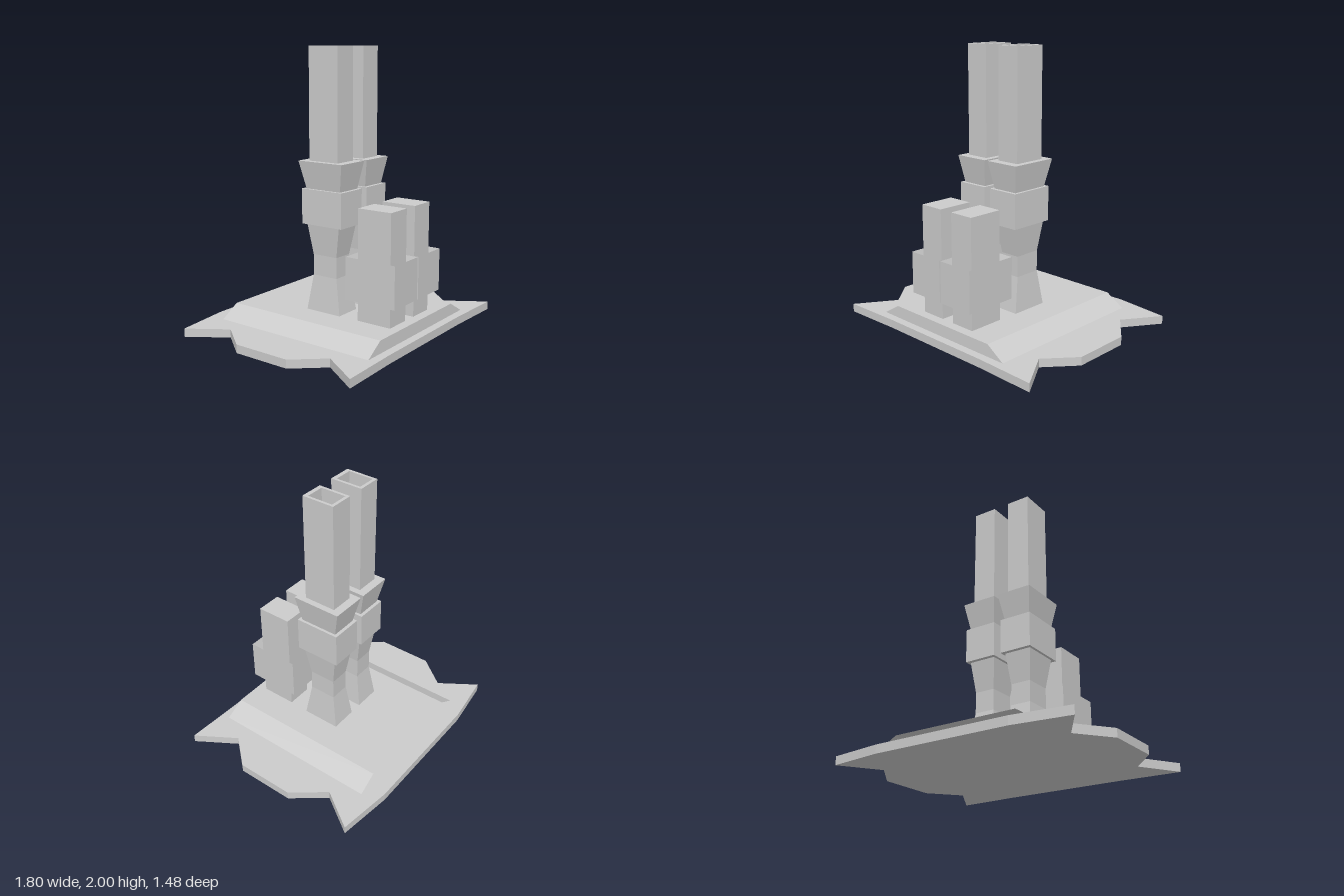
import * as THREE from 'three';

const material = new THREE.MeshStandardMaterial({ color: 0xcccccc, flatShading: true });
const openMaterial = new THREE.MeshStandardMaterial({ color: 0xcccccc, flatShading: true, side: THREE.DoubleSide });

function facesGeometry(quads) {
  const pos = [];
  for (const [a, b, c, d] of quads) pos.push(...a, ...b, ...c, ...a, ...c, ...d);
  const geo = new THREE.BufferGeometry();
  geo.setAttribute('position', new THREE.Float32BufferAttribute(pos, 3));
  geo.computeVertexNormals();
  return geo;
}

// Joins rectangular sections [y, halfWidth, zBack, zFront] in order and closes both ends
function rectLoft(sections) {
  const rings = sections.map(([y, w, z0, z1]) => [[-w, y, z1], [w, y, z1], [w, y, z0], [-w, y, z0]]);
  const quads = [[...rings[0]].reverse(), rings[rings.length - 1]];
  for (let i = 0; i + 1 < rings.length; i++) {
    for (let k = 0; k < 4; k++) {
      const n = (k + 1) % 4;
      quads.push([rings[i][k], rings[i][n], rings[i + 1][n], rings[i + 1][k]]);
    }
  }
  return facesGeometry(quads);
}

function part(parent, name, geometry, mat = material) {
  const mesh = new THREE.Mesh(geometry, mat);
  mesh.name = name;
  parent.add(mesh);
  return mesh;
}

export function createModel() {
  const model = new THREE.Group();
  model.name = 'twinTowers';

  // Notched base plate, mirrored left to right
  const half = [[0.5, -0.74], [0.9, -0.69], [0.72, -0.42], [0.9, -0.19], [0.9, 0.24], [0.72, 0.45], [0.9, 0.735], [0.45, 0.72]];
  const outline = [...half, ...half.map(([x, z]) => [-x, z]).reverse()];
  const base = new THREE.ExtrudeGeometry(
    new THREE.Shape(outline.map(([x, z]) => new THREE.Vector2(x, z))),
    { depth: 0.06, bevelEnabled: false }
  );
  base.rotateX(Math.PI / 2).translate(0, 0.06, 0);
  part(model, 'basePlate', base);

  // Raised deck with sloping sides and an open back
  const edge = [[0.6, 0.06], [0.46, 0.145], [-0.46, 0.145], [-0.6, 0.06]];
  const front = edge.map(([x, y]) => [x, y, y > 0.1 ? 0.655 : 0.66]);
  const back = edge.map(([x, y]) => [x, y, -0.61]);
  const deck = [[front[0], front[1], front[2], front[3]]];
  for (let i = 0; i < 3; i++) deck.push([front[i], back[i], back[i + 1], front[i + 1]]);
  part(model, 'raisedDeck', facesGeometry(deck), openMaterial);

  for (const side of [1, -1]) {
    const label = side > 0 ? 'left' : 'right';

    // Tall rear tower: waisted leg, block, flared collar and hollow shaft
    const tall = new THREE.Group();
    tall.name = label + 'TallTower';
    tall.position.x = side * 0.148;
    part(tall, 'waistedLeg', rectLoft([
      [0.145, 0.1, -0.115, 0.17], [0.4, 0.075, -0.075, 0.125],
      [0.55, 0.075, -0.075, 0.125], [0.77, 0.1, -0.11, 0.165],
    ]));
    part(tall, 'block', rectLoft([[0.77, 0.12, -0.14, 0.2], [1.02, 0.12, -0.14, 0.2]]));
    part(tall, 'flaredCollar', rectLoft([[1.02, 0.1, -0.115, 0.175], [1.215, 0.133, -0.16, 0.21]]));
    part(tall, 'hollowShaft', rectLoft([
      [1.215, 0.088, -0.098, 0.146], [2, 0.088, -0.098, 0.146],
      [2, 0.068, -0.075, 0.115], [1.23, 0.068, -0.075, 0.115],
    ]));
    model.add(tall);

    // Short front tower: solid shaft inside a funnel-topped collar
    const short = new THREE.Group();
    short.name = label + 'ShortTower';
    short.position.x = side * 0.147;
    part(short, 'shaft', rectLoft([[0.145, 0.095, 0.322, 0.585], [0.93, 0.095, 0.322, 0.585]]));
    part(short, 'funnelCollar', rectLoft([
      [0.295, 0.141, 0.252, 0.648], [0.595, 0.141, 0.252, 0.648], [0.42, 0.094, 0.323, 0.584],
    ]));
    model.add(short);
  }
  return model;
}
